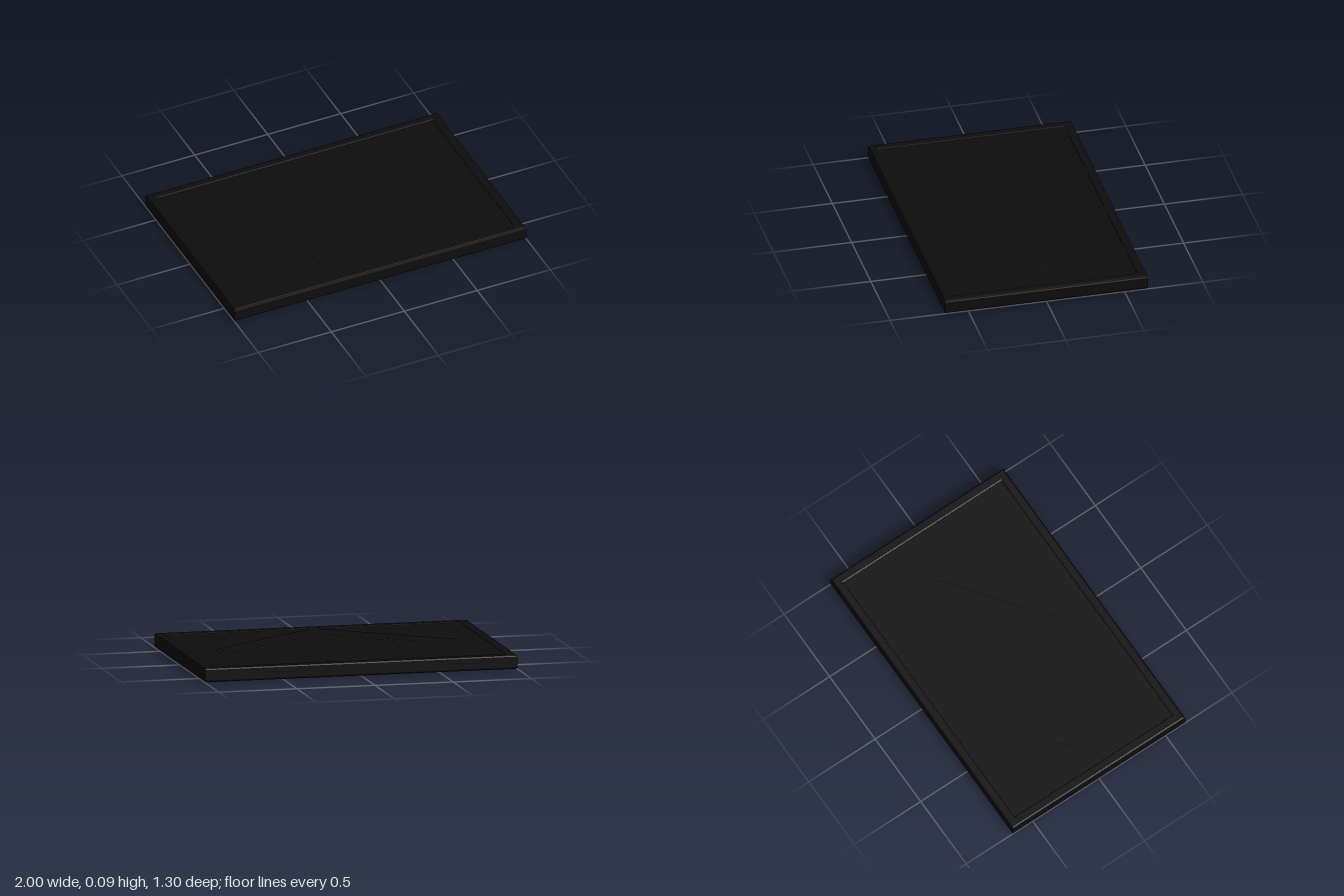
import * as THREE from 'three';

const black = new THREE.MeshStandardMaterial({ color: 0x0d0d0d });
black.name = 'black';
const gold = new THREE.MeshStandardMaterial({ color: 0x77693a });
gold.name = 'dull gold';

// Points are [x, z] on the ground plane
const toVectors = (points) => points.map(([x, z]) => new THREE.Vector2(x, -z));
const rectangle = (w, d) => toVectors([[-w, d], [w, d], [w, -d], [-w, -d]]);

// Lays an outline flat between two heights, with an optional bevel inside its bounds
function slab(name, shape, bottom, top, bevel, material) {
  const geometry = new THREE.ExtrudeGeometry(shape, {
    depth: top - bottom - 2 * bevel,
    bevelEnabled: bevel > 0,
    bevelThickness: bevel,
    bevelSize: bevel,
    bevelOffset: -bevel,
    bevelSegments: 2,
  });
  geometry.rotateX(-Math.PI / 2);
  geometry.translate(0, bottom + bevel, 0);
  const mesh = new THREE.Mesh(geometry, material);
  mesh.name = name;
  return mesh;
}

export function createModel() {
  const group = new THREE.Group();
  group.name = 'panel';

  // Flat board
  group.add(slab('board', new THREE.Shape(rectangle(0.99, 0.64)), 0.005, 0.085, 0, black));

  // Slightly raised rim with softened edges
  const rim = new THREE.Shape(rectangle(1, 0.65));
  rim.holes.push(new THREE.Path(rectangle(0.935, 0.59).reverse()));
  group.add(slab('rim', rim, 0, 0.09, 0.012, black));

  // Chevron set through the board, black faces with gold edges
  const chevron = new THREE.Shape(toVectors([
    [0, 0.59], [0.79, -0.01], [0.65, -0.13], [0, 0.37], [-0.65, -0.13], [-0.79, -0.01],
  ]));
  group.add(slab('chevron', chevron, 0.002, 0.088, 0, [black, gold]));

  return group;
}
